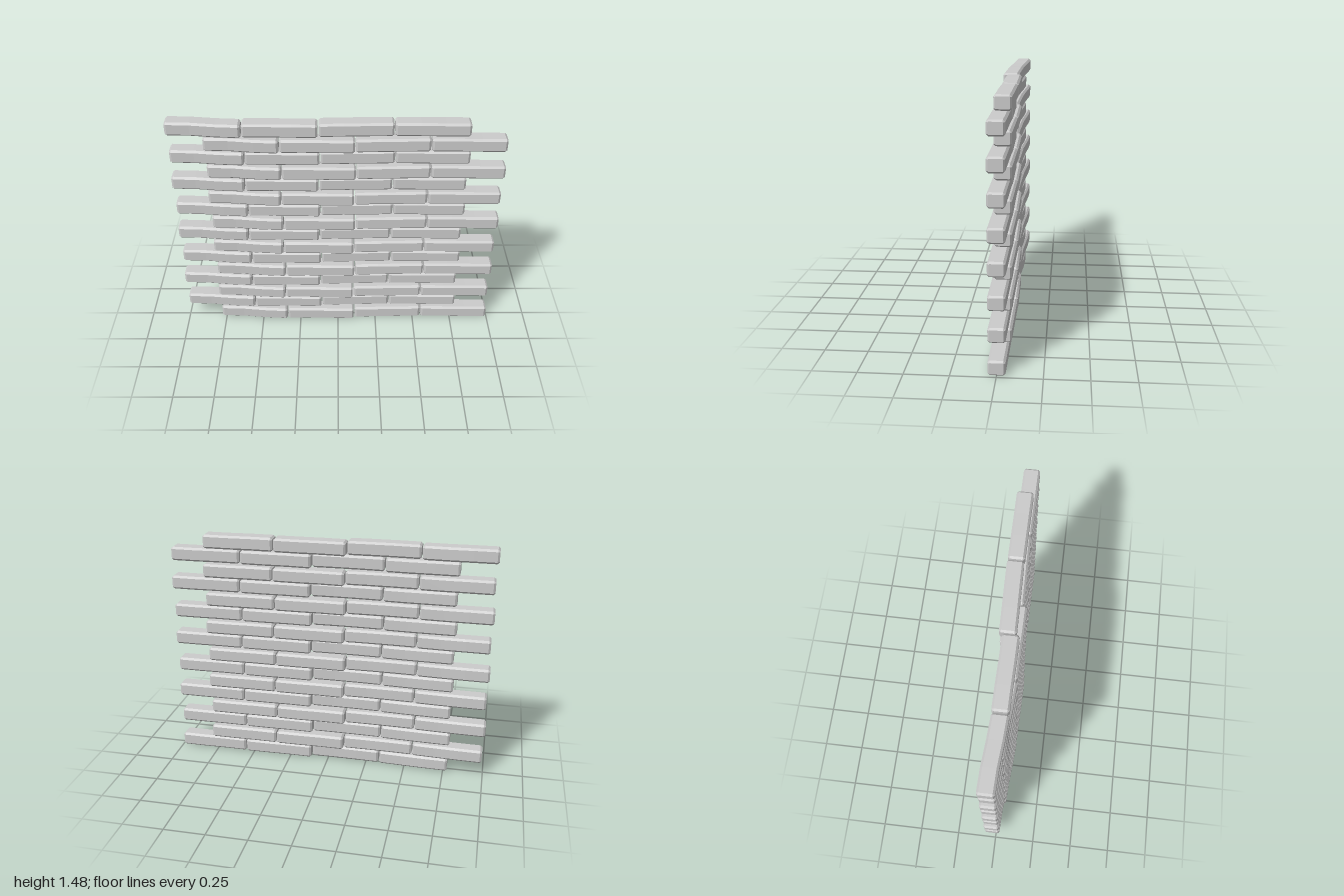
import * as THREE from 'three';

const PITCH = 0.443, LENGTH = 0.436, HEIGHT = 0.085, DEPTH = 0.097, BEVEL = 0.012;

// Bevelled rectangle in the y-z plane, eight corners
function section(x, y, z, inset, bevel) {
  const h = HEIGHT / 2 - inset, d = DEPTH / 2 - inset, b = bevel;
  return [
    [h - b, d], [h, d - b], [h, b - d], [h - b, -d],
    [b - h, -d], [-h, b - d], [-h, d - b], [b - h, d],
  ].map(([dy, dz]) => [x, y + dy, z + dz]);
}

// A worn brick: sections along x following a slightly bent centre line
function brickGeometry({ y, z }) {
  const half = LENGTH / 2;
  const at = (list, t) => {
    const s = t * (list.length - 1), i = Math.min(Math.floor(s), list.length - 2);
    return THREE.MathUtils.lerp(list[i], list[i + 1], s - i);
  };
  const xs = [-half, -half + BEVEL, -LENGTH / 6, LENGTH / 6, half - BEVEL, half];
  const rings = xs.map((x, i) => {
    const t = x / LENGTH + 0.5, end = i === 0 || i === xs.length - 1;
    return section(x, at(y, t), at(z, t), end ? BEVEL * 0.8 : 0, end ? BEVEL * 0.3 : BEVEL);
  });
  const positions = rings.flat(2), index = [];
  for (let r = 0; r < rings.length - 1; r++) {
    for (let k = 0; k < 8; k++) {
      const a = r * 8 + k, b = r * 8 + (k + 1) % 8;
      index.push(a, a + 8, b, b, a + 8, b + 8);
    }
  }
  // End caps
  const last = (rings.length - 1) * 8;
  for (let k = 1; k < 7; k++) {
    index.push(0, k, k + 1);
    index.push(last, last + k + 1, last + k);
  }
  // Make the winding face outward
  for (let i = 0; i < index.length; i += 3) {
    const [a, b, c] = [0, 1, 2].map(j => new THREE.Vector3().fromArray(positions, index[i + j] * 3));
    const normal = b.clone().sub(a).cross(c.clone().sub(a));
    const mid = a.add(b).add(c).divideScalar(3);
    const t = THREE.MathUtils.clamp(mid.x / LENGTH + 0.5, 0, 1);
    const centre = new THREE.Vector3(Math.abs(mid.x) > half - BEVEL ? 0 : mid.x, at(y, t), at(z, t));
    if (normal.dot(mid.sub(centre)) < 0) [index[i + 1], index[i + 2]] = [index[i + 2], index[i + 1]];
  }
  const geometry = new THREE.BufferGeometry();
  geometry.setAttribute('position', new THREE.Float32BufferAttribute(positions, 3));
  geometry.setIndex(index);
  geometry.computeVertexNormals();
  return geometry;
}

export function createModel() {
  const wall = new THREE.Group();
  wall.name = 'brickWall';
  const material = new THREE.MeshStandardMaterial({ color: 0xcccccc, flatShading: true });

  // Four brick shapes, each with its centre line from left end to right end
  const bricks = [
    { y: [0.002, 0.001, -0.003, -0.004], z: [-0.024, -0.02, -0.008, 0.0] },
    { y: [0, 0.001, 0, -0.001], z: [-0.002, -0.001, 0.002, 0.003] },
    { y: [-0.006, -0.004, -0.004, -0.003], z: [-0.016, -0.018, -0.021, -0.023] },
    { y: [-0.002, -0.002, -0.004, -0.004], z: [-0.021, -0.02, -0.019, -0.018] },
  ].map(brickGeometry);

  // Courses alternate in running bond, with a small shift repeating every four
  const shifts = [0.108, -0.106, 0.1, -0.115];
  for (let row = 0; row < 16; row++) {
    const course = new THREE.Group();
    course.name = `course${row + 1}`;
    course.position.set(shifts[row % 4], 0.0475 + row * 0.0922, row % 2 ? 0 : 0.018);
    bricks.forEach((geometry, i) => {
      const brick = new THREE.Mesh(geometry, material);
      brick.name = `brick${i + 1}`;
      brick.position.x = (i - 1.5) * PITCH;
      course.add(brick);
    });
    wall.add(course);
  }
  return wall;
}
